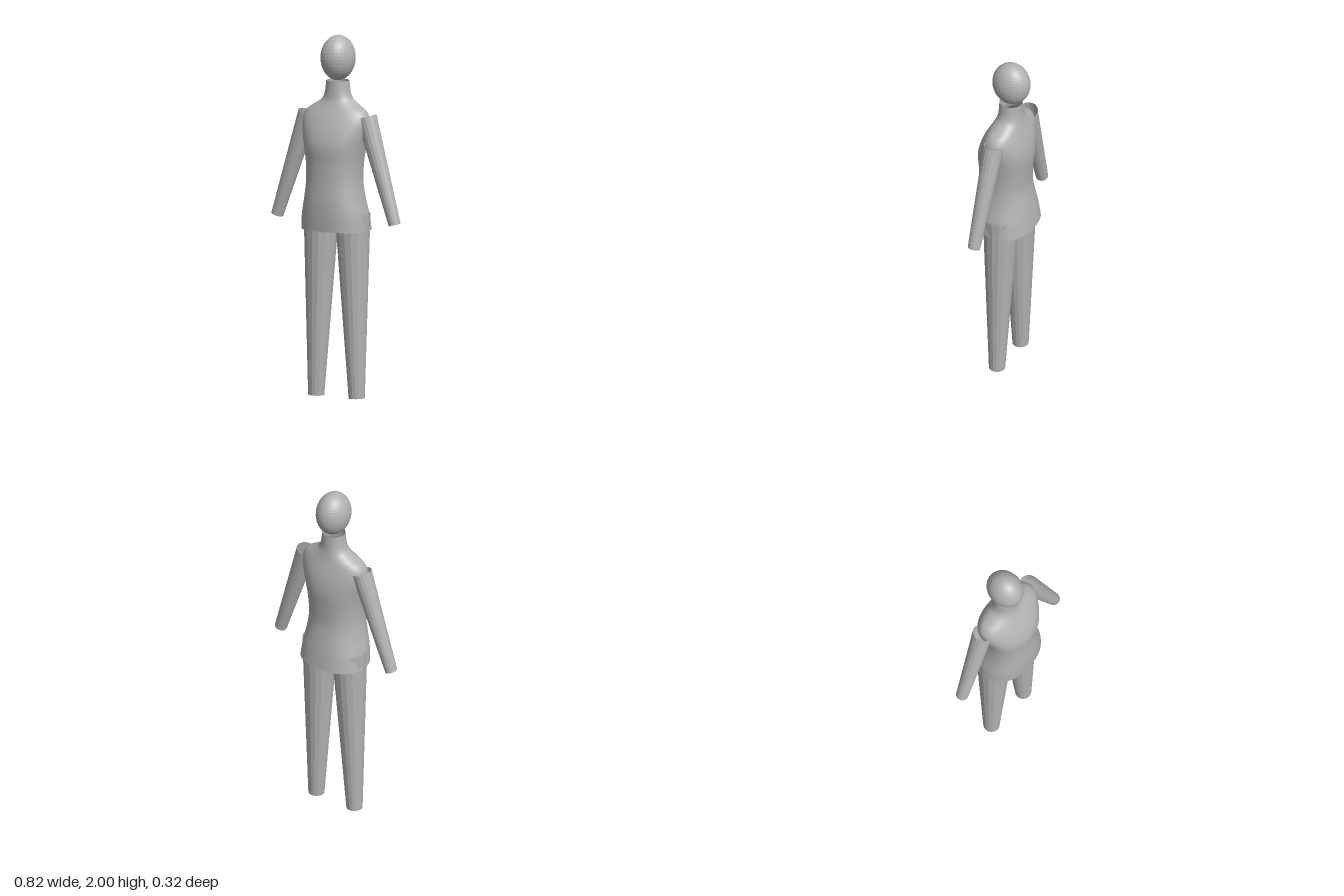
import * as THREE from 'three';

// Torso sections from hem to neck: height, half width, front z, back z
const SECTIONS = [
  [0.93, 0.196, 0.153, -0.159],
  [1.02, 0.187, 0.158, -0.147],
  [1.1, 0.17, 0.159, -0.134],
  [1.2, 0.157, 0.154, -0.121],
  [1.3, 0.16, 0.153, -0.126],
  [1.4, 0.176, 0.155, -0.134],
  [1.48, 0.195, 0.134, -0.128],
  [1.55, 0.2, 0.102, -0.111],
  [1.59, 0.178, 0.08, -0.099],
  [1.62, 0.132, 0.065, -0.092],
  [1.65, 0.09, 0.054, -0.086],
  [1.68, 0.074, 0.05, -0.083],
  [1.75, 0.063, 0.047, -0.08],
];

// Smooth open loft through the sections, slightly squared in plan
function torsoGeometry(rows = 60, sides = 48) {
  const sizeCurve = new THREE.CatmullRomCurve3(SECTIONS.map(([y, w, f]) => new THREE.Vector3(w, y, f)));
  const backCurve = new THREE.CatmullRomCurve3(SECTIONS.map(([y, w, , b]) => new THREE.Vector3(w, y, b)));
  const positions = [];
  const index = [];
  const squared = (v, n) => Math.sign(v) * Math.abs(v) ** (2 / n);
  for (let j = 0; j <= rows; j++) {
    const size = sizeCurve.getPoint(j / rows);
    const back = backCurve.getPoint(j / rows).z;
    const middle = (size.z + back) / 2;
    const depth = (size.z - back) / 2;
    const n = 2.35 - 0.3 * (j / rows);
    for (let i = 0; i < sides; i++) {
      const t = (i / sides) * Math.PI * 2;
      positions.push(size.x * squared(Math.sin(t), n), size.y, middle + depth * squared(Math.cos(t), n));
      if (j < rows) {
        const a = j * sides + i;
        const b = j * sides + ((i + 1) % sides);
        index.push(a, b, b + sides, a, b + sides, a + sides);
      }
    }
  }
  const geometry = new THREE.BufferGeometry();
  geometry.setAttribute('position', new THREE.Float32BufferAttribute(positions, 3));
  geometry.setIndex(index);
  geometry.computeVertexNormals();
  return geometry;
}

// Open tapered tube between two points
function limb(name, top, bottom, topRadius, bottomRadius, material) {
  const a = new THREE.Vector3(...top);
  const b = new THREE.Vector3(...bottom);
  const axis = a.clone().sub(b);
  const geometry = new THREE.CylinderGeometry(topRadius, bottomRadius, axis.length(), 16, 1, true);
  const mesh = new THREE.Mesh(geometry.toNonIndexed(), material);
  mesh.geometry.computeVertexNormals();
  mesh.quaternion.setFromUnitVectors(new THREE.Vector3(0, 1, 0), axis.normalize());
  mesh.position.copy(a).add(b).multiplyScalar(0.5);
  mesh.name = name;
  return mesh;
}

export function createModel() {
  const model = new THREE.Group();
  model.name = 'mannequin';
  const grey = new THREE.MeshStandardMaterial({ color: 0xb3b3b3, side: THREE.DoubleSide });
  grey.name = 'mannequin grey';

  // Faceted egg-shaped head
  const headGeometry = new THREE.SphereGeometry(1, 32, 20).toNonIndexed();
  headGeometry.scale(0.092, 0.125, 0.109);
  headGeometry.computeVertexNormals();
  const head = new THREE.Mesh(headGeometry, grey);
  head.name = 'head';
  head.position.set(0, 1.875, -0.019);
  model.add(head);

  // Torso and neck in one piece
  const torso = new THREE.Mesh(torsoGeometry(), grey);
  torso.name = 'torso';
  model.add(torso);

  // Mirrored arms and legs
  for (const [side, s] of [['left', 1], ['right', -1]]) {
    model.add(limb(side + 'Arm', [s * 0.187, 1.56, -0.014], [s * 0.377, 0.98, 0.003], 0.057, 0.034, grey));
    model.add(limb(side + 'Leg', [s * 0.1, 1.02, -0.008], [s * 0.13, 0.001, -0.002], 0.099, 0.045, grey));
  }
  return model;
}
